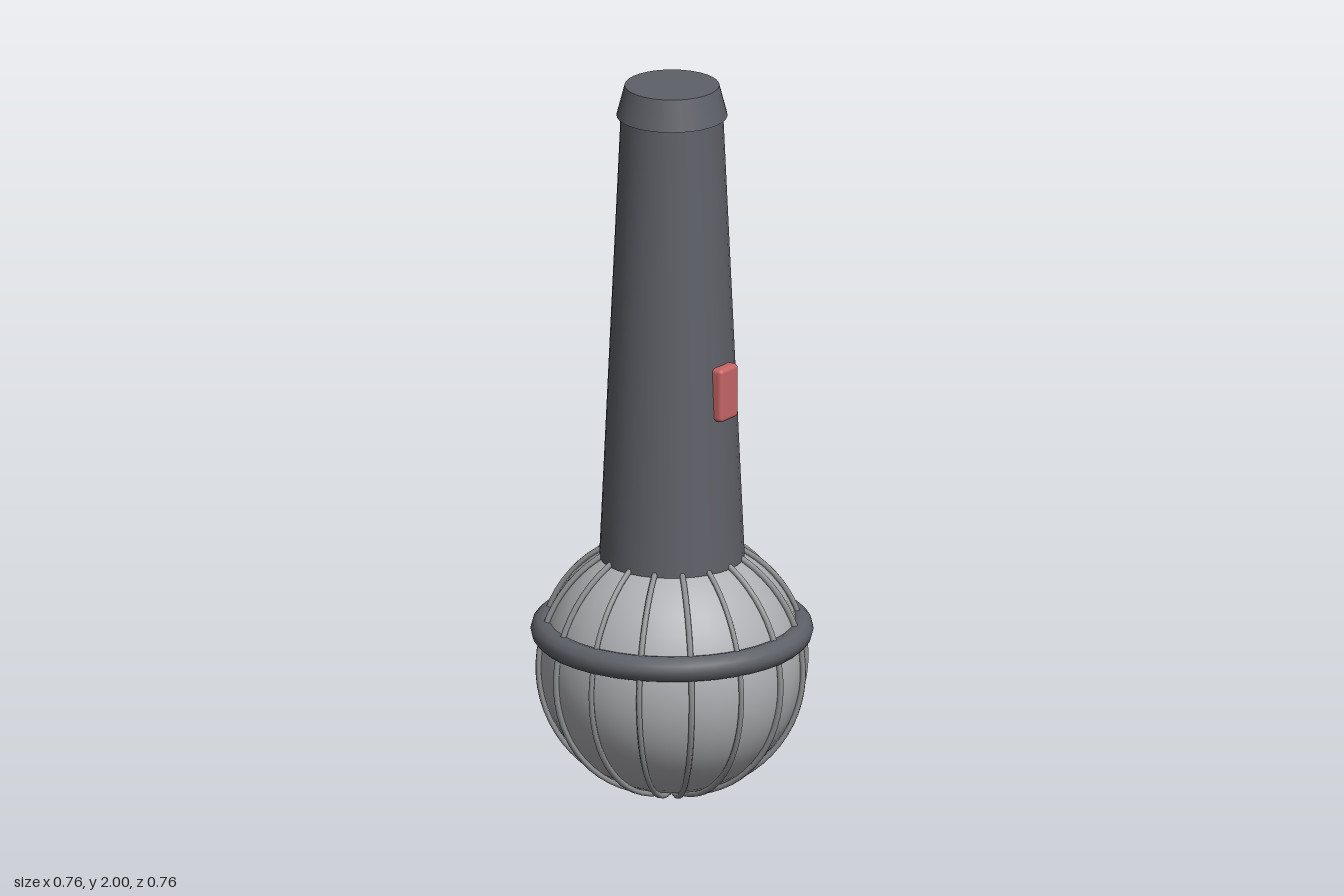
import * as THREE from 'three';
import { RoundedBoxGeometry } from 'three/addons/geometries/RoundedBoxGeometry.js';

const material = (name, color) => {
  const m = new THREE.MeshStandardMaterial({ color });
  m.name = name;
  return m;
};

export function createModel() {
  const dark = material('charcoal', 0x5e6168);
  const grille = material('grille grey', 0xafb0b3);
  const wire = material('wire grey', 0x929396);
  const red = material('button red', 0xc76565);

  const model = new THREE.Group();
  model.name = 'microphone';
  const add = (name, geometry, mat, x = 0, y = 0, parent = model) => {
    const mesh = new THREE.Mesh(geometry, mat);
    mesh.name = name;
    mesh.position.set(x, y, 0);
    parent.add(mesh);
    return mesh;
  };

  // Ball head
  const headY = 0.37;
  add('head', new THREE.SphereGeometry(0.355, 32, 24), grille, 0, headY);

  // Wires running along the meridians, from the pole up under the handle
  const wires = new THREE.Group();
  wires.name = 'headWires';
  model.add(wires);
  const points = [];
  for (let i = 0; i <= 16; i++) {
    const a = -Math.PI / 2 + (i / 16) * 2.65;
    points.push(new THREE.Vector3(Math.cos(a) * 0.362, Math.sin(a) * 0.362, 0));
  }
  const wireGeometry = new THREE.TubeGeometry(new THREE.CatmullRomCurve3(points), 28, 0.008, 6);
  for (let i = 0; i < 16; i++) {
    add('headWire', wireGeometry, wire, 0, headY, wires).rotation.y = (i / 16) * Math.PI * 2;
  }

  // Band around the head
  const band = new THREE.TorusGeometry(0.344, 0.035, 12, 40);
  band.rotateX(Math.PI / 2);
  add('headBand', band, dark, 0, 0.464);

  // Tapered handle with a flared end cap
  add('handle', new THREE.CylinderGeometry(0.137, 0.195, 1.26, 32), dark, 0, 1.30);
  add('endCap', new THREE.CylinderGeometry(0.127, 0.149, 0.085, 32), dark, 0, 1.9575);

  // Switch on the left side of the handle
  add('switchButton', new RoundedBoxGeometry(0.04, 0.15, 0.08, 3, 0.012), red, 0.175, 1.166);

  return model;
}
